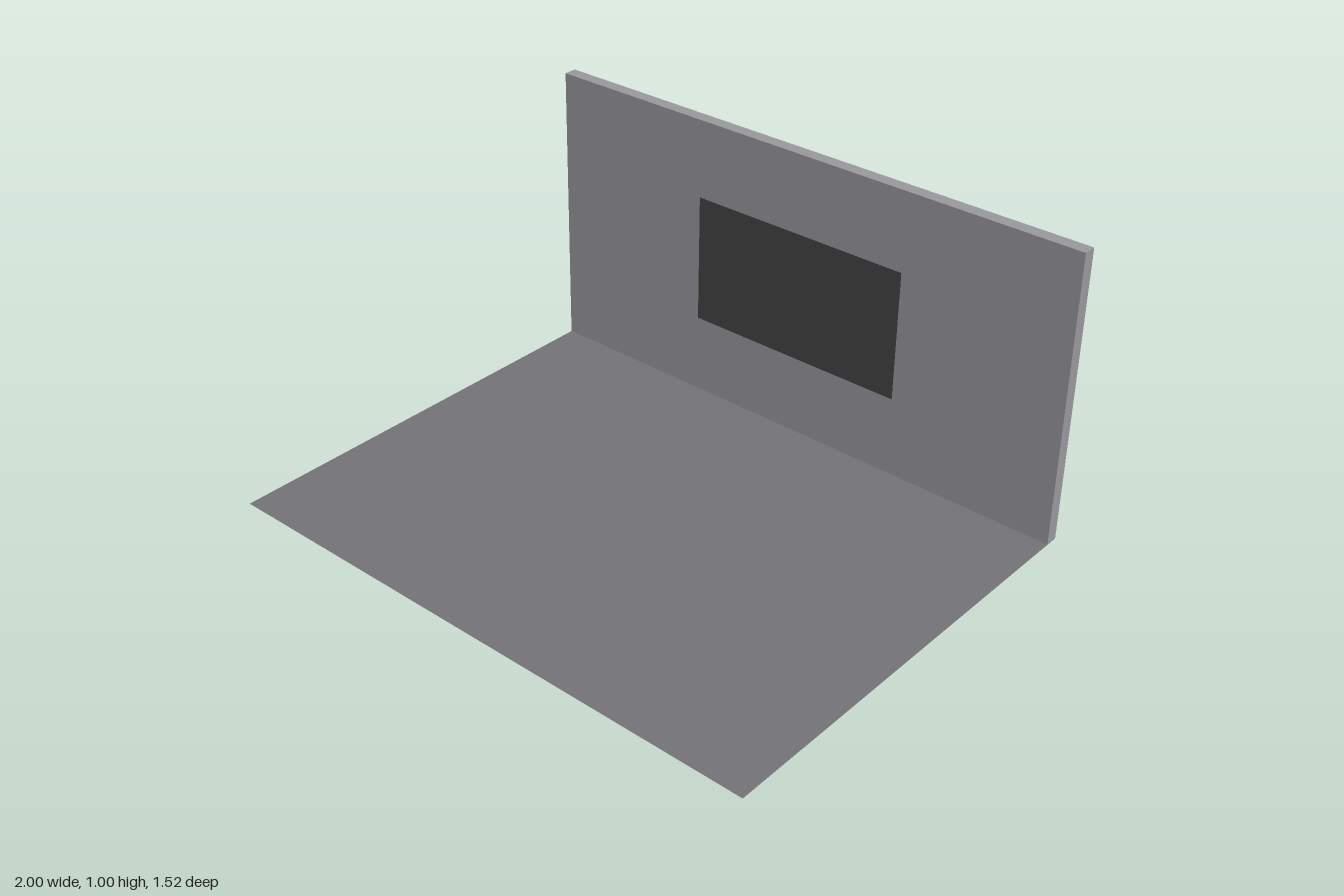
import * as THREE from 'three';

const material = (name, color, side = THREE.FrontSide) => {
  const m = new THREE.MeshStandardMaterial({ color, side });
  m.name = name;
  return m;
};

export function createModel() {
  const group = new THREE.Group();
  const lightGrey = material('light grey', 0x98979c);
  const midGrey = material('mid grey', 0x737277, THREE.DoubleSide);
  const charcoal = material('charcoal', 0x444444, THREE.DoubleSide);

  const add = (name, geometry, mat, x, y, z) => {
    const mesh = new THREE.Mesh(geometry, mat);
    mesh.name = name;
    mesh.position.set(x, y, z);
    group.add(mesh);
  };

  // Flat floor sheet, running under the wall
  add('floor', new THREE.PlaneGeometry(2, 1.52).rotateX(-Math.PI / 2), midGrey, 0, 0, 0);

  // Upright back wall, just clear of the floor sheet
  add('backWall', new THREE.BoxGeometry(2, 0.999, 0.045), lightGrey, 0, 0.5005, -0.7375);

  // Dark rectangle on the front of the wall
  add('wallPanel', new THREE.PlaneGeometry(0.8, 0.45), charcoal, 0, 0.503, -0.713);

  return group;
}
